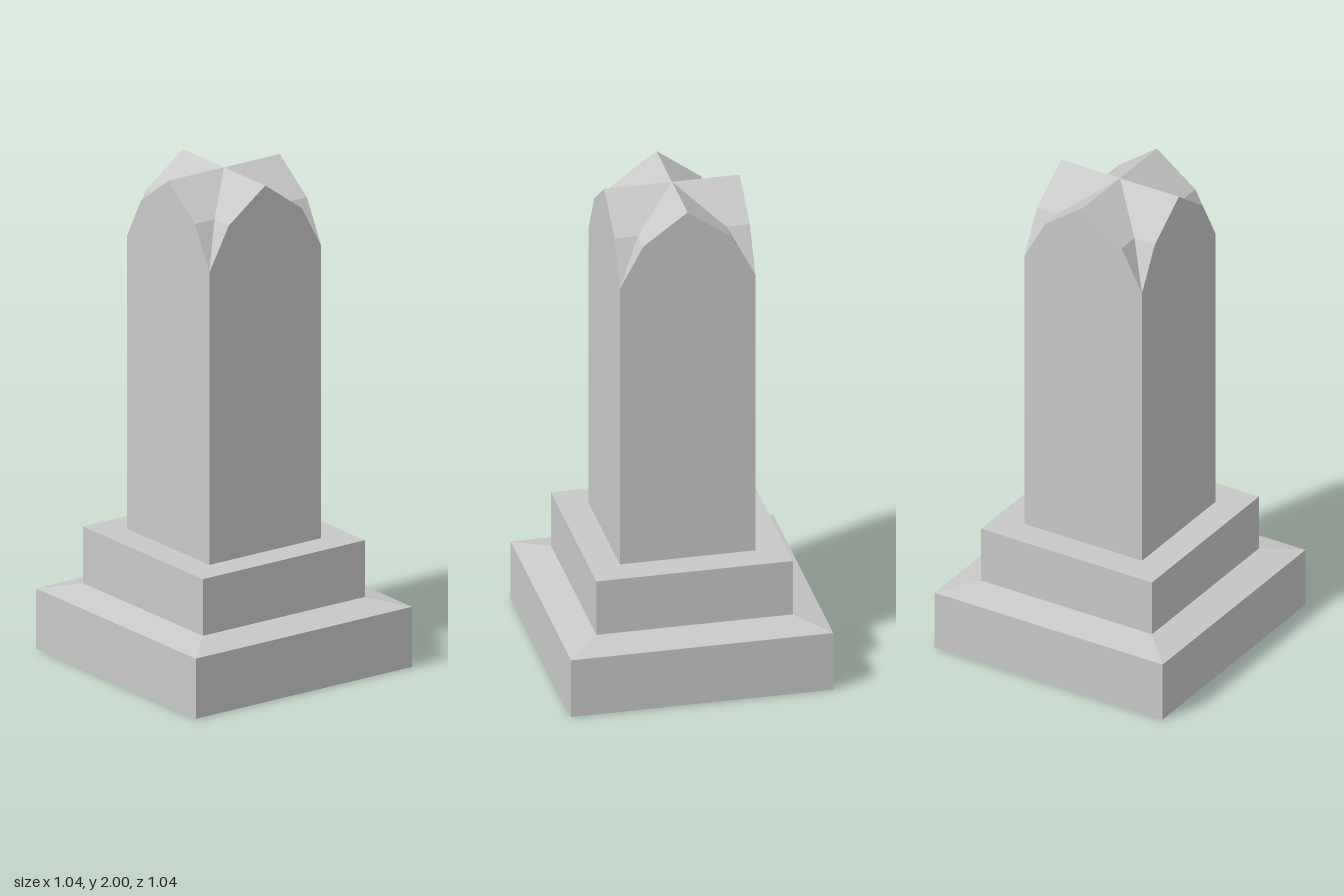
import * as THREE from 'three';

export function createModel() {
  const group = new THREE.Group();
  const stone = new THREE.MeshStandardMaterial({ color: 0xc8c8c8, flatShading: true, side: THREE.DoubleSide });
  stone.name = 'grey stone';

  const add = (name, geometry, parent = group) => {
    const mesh = new THREE.Mesh(geometry, stone);
    mesh.name = name;
    parent.add(mesh);
    return mesh;
  };

  // Open square shell from [half width, height] pairs
  const squareShell = (profile) => {
    const points = profile.map(([half, y]) => new THREE.Vector2(half * Math.SQRT2, y));
    const geometry = new THREE.LatheGeometry(points, 4, Math.PI / 4).toNonIndexed();
    geometry.computeVertexNormals();
    return geometry;
  };

  const BASE = 0.519, PLINTH = 0.389, SHAFT = 0.268;
  add('base', squareShell([[BASE, 0], [BASE, 0.245], [PLINTH, 0.276]]));
  add('plinth', squareShell([[PLINTH, 0.276], [PLINTH, 0.507], [SHAFT, 0.507]]));

  // Half profile of the pointed gable: [x, y] from the ridge to the corner
  const gable = [[0, 2], [0.175, 1.872], [SHAFT, 1.7]];

  // Wall with its pointed top
  const outline = new THREE.Shape([
    new THREE.Vector2(-SHAFT, 0.507),
    new THREE.Vector2(SHAFT, 0.507),
    ...gable.slice().reverse().map(([x, y]) => new THREE.Vector2(x, y)),
    ...gable.slice(1).map(([x, y]) => new THREE.Vector2(-x, y)),
  ]);
  const wall = new THREE.ShapeGeometry(outline).translate(0, 0, SHAFT);

  // Roof arm behind one gable, cut along the diagonal valleys
  const positions = [];
  for (const side of [1, -1]) {
    for (let i = 0; i < gable.length - 1; i++) {
      const [x0, y0] = gable[i], [x1, y1] = gable[i + 1];
      const a = [side * x0, y0, x0], b = [side * x0, y0, SHAFT];
      const c = [side * x1, y1, SHAFT], d = [side * x1, y1, x1];
      const triangles = x1 < SHAFT ? [[a, b, c], [a, c, d]] : [[a, b, c]];
      for (const [p, q, r] of triangles) positions.push(...p, ...(side > 0 ? q : r), ...(side > 0 ? r : q));
    }
  }
  const roof = new THREE.BufferGeometry();
  roof.setAttribute('position', new THREE.Float32BufferAttribute(positions, 3));
  roof.computeVertexNormals();

  // Four identical sides make the shaft and its crossed roof
  for (let i = 0; i < 4; i++) {
    const face = new THREE.Group();
    face.name = 'shaftSide';
    face.rotation.y = i * Math.PI / 2;
    add('gabledWall', wall, face);
    add('roofArm', roof, face);
    group.add(face);
  }

  return group;
}
